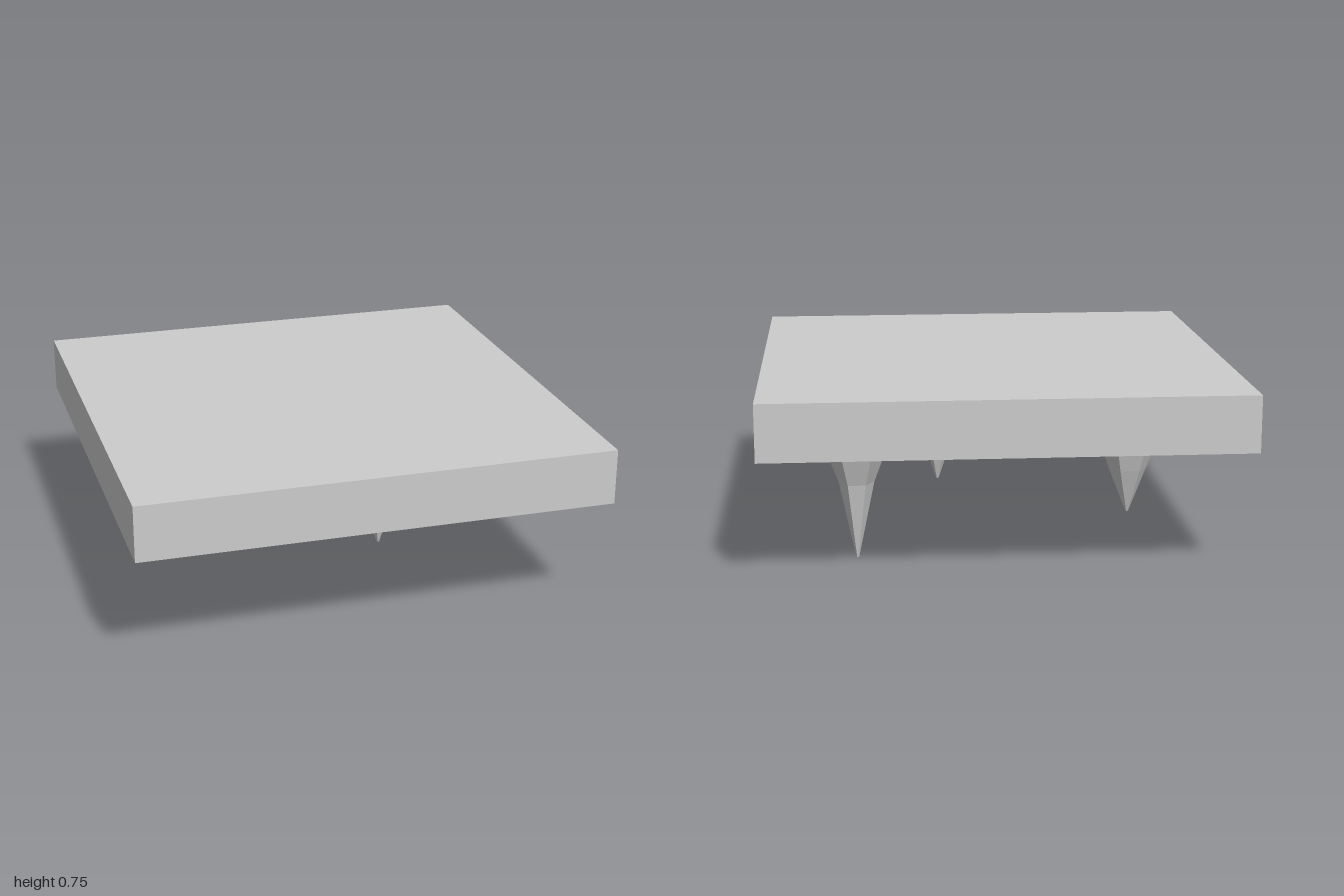
import * as THREE from 'three';

export function createModel() {
  const model = new THREE.Group();
  const stone = new THREE.MeshStandardMaterial({ color: 0xcccccc });
  stone.name = 'pale grey stone';

  const slabBottom = 0.515, slabTop = 0.752;

  // Square slab
  const slab = new THREE.Mesh(new THREE.BoxGeometry(2, slabTop - slabBottom, 2), stone);
  slab.name = 'slab';
  slab.position.y = (slabTop + slabBottom) / 2;
  model.add(slab);

  // Faceted six-sided spike with a knee halfway down; corners point along x
  function addSpike(name, x, z, tipY, kneeRadius) {
    const profile = [
      [0, tipY], [0.006, tipY], [kneeRadius, 0.325], [0.146, slabBottom], [0, slabBottom],
    ].map(([r, y]) => new THREE.Vector2(r, y));
    const geometry = new THREE.LatheGeometry(profile, 6, Math.PI / 2).toNonIndexed();
    geometry.computeVertexNormals();
    const spike = new THREE.Mesh(geometry, stone);
    spike.name = name;
    spike.position.set(x, 0, z);
    model.add(spike);
  }

  addSpike('rightSpike', -0.555, -0.445, 0.13, 0.082);
  addSpike('frontSpike', 0.225, 0.26, 0.107, 0.079);
  addSpike('leftSpike', 0.605, -0.595, 0, 0.074);

  return model;
}
